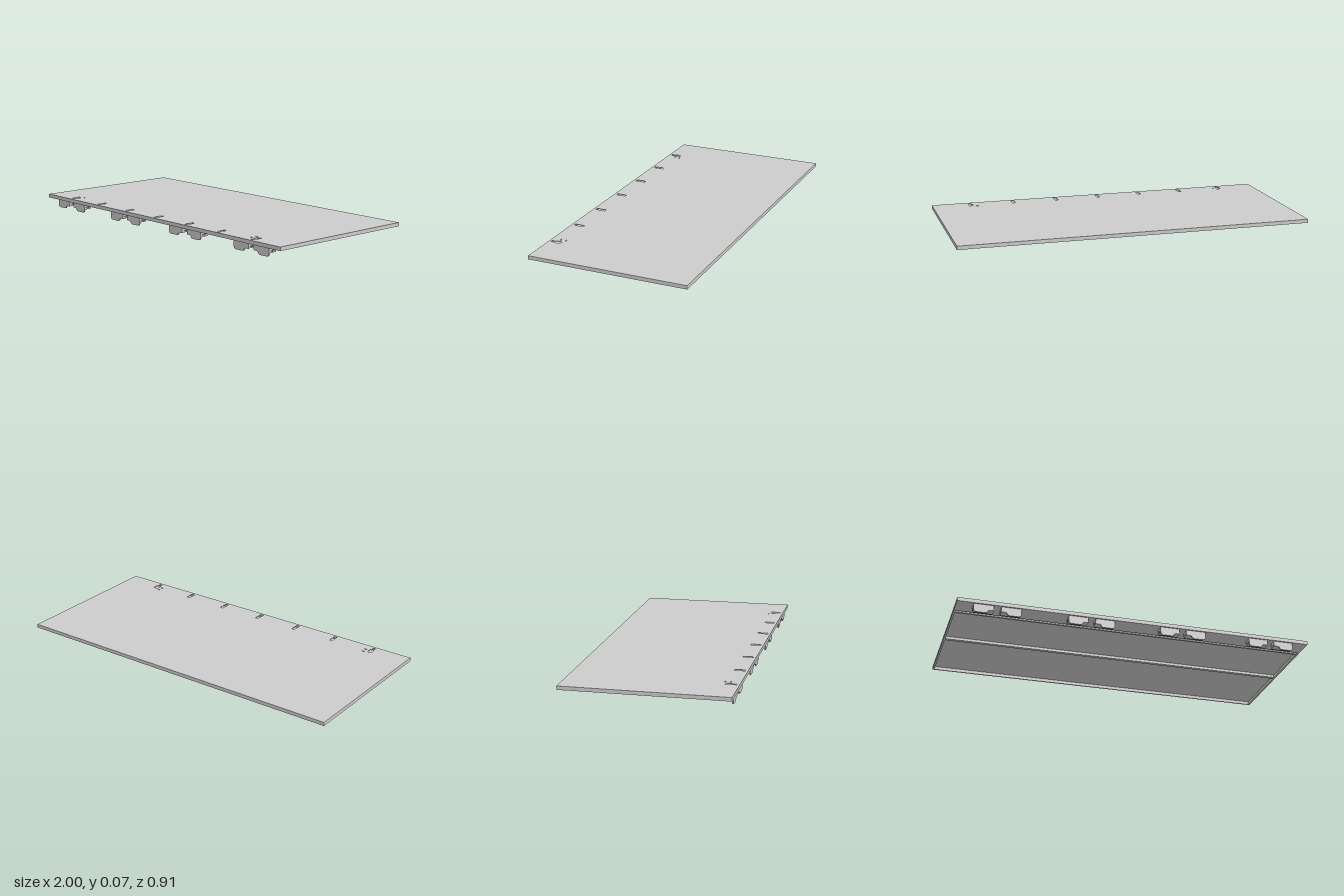
import * as THREE from 'three';

const mat = new THREE.MeshStandardMaterial({ color: 0xcccccc, flatShading: true });
const TOP = 0.068, BOTTOM = 0.047, SHEET = 0.003, HALF = 0.457;

function add(parent, name, geometry) {
  const mesh = new THREE.Mesh(geometry, mat);
  mesh.name = name;
  parent.add(mesh);
  return mesh;
}

// Box given by its limits on each axis
function block(parent, name, x0, x1, y0, y1, z0, z1) {
  const mesh = add(parent, name, new THREE.BoxGeometry(x1 - x0, y1 - y0, z1 - z0));
  mesh.position.set((x0 + x1) / 2, (y0 + y1) / 2, (z0 + z1) / 2);
  return mesh;
}

const outline = (C, pts) => new C(pts.map(([a, b]) => new THREE.Vector2(a, b)));
const rect = (x0, x1, y0, y1) => [[x0, y0], [x1, y0], [x1, y1], [x0, y1]];
const extrude = (shape, depth) => new THREE.ExtrudeGeometry(shape, { depth, bevelEnabled: false });

// Top sheet with locating slots along the front edge
function topSheet(parent) {
  const shape = outline(THREE.Shape, rect(-1, 1, -HALF, HALF));
  const cut = (pts) => shape.holes.push(outline(THREE.Path, pts));
  for (let i = -2; i <= 2; i++) cut(rect(i * 0.26 - 0.009, i * 0.26 + 0.009, -0.442, -0.383));
  for (const s of [-1, 1]) {
    // Keyhole slot
    cut([[-0.012, -0.383], [-0.012, -0.412], [-0.007, -0.42], [-0.007, -0.442],
      [0.007, -0.442], [0.007, -0.42], [0.012, -0.412], [0.012, -0.383]]
      .map(([x, y]) => [x + s * 0.777, y]));
    // Pair of small slits
    for (const z of [0.373, 0.404]) cut(rect(s * 0.742 - 0.008, s * 0.742 + 0.008, -z - 0.003, -z + 0.003));
  }
  const mesh = add(parent, 'topSheet', extrude(shape, SHEET));
  mesh.rotation.x = -Math.PI / 2;
  mesh.position.y = TOP - SHEET;
}

// Hanging clip: hooked front plate, slotted cheeks and a floor
function clip(x, side) {
  const g = new THREE.Group();
  g.name = 'clip';
  const plate = outline(THREE.Shape, [[-0.055, 0.048], [-0.055, 0.012], [-0.049, 0.003], [-0.042, 0],
    [0.012, 0], [0.019, 0.003], [0.026, 0.014], [0.032, 0.017], [0.055, 0.017], [0.055, 0.048]]
    .map(([px, py]) => [px * side, py]));
  add(g, 'hookPlate', extrude(plate, 0.007)).position.z = 0.441;

  // Cheek profile lies in z and y, with a T-shaped slot
  const cheek = outline(THREE.Shape, rect(-0.442, -0.398, 0.019, 0.048));
  cheek.holes.push(outline(THREE.Path, [[-0.434, 0.031], [-0.434, 0.027], [-0.424, 0.027], [-0.424, 0.024],
    [-0.418, 0.024], [-0.418, 0.027], [-0.408, 0.027], [-0.408, 0.031]]));
  for (const px of [-0.055, 0.049]) {
    const m = add(g, 'cheek', extrude(cheek, 0.006));
    m.rotation.y = Math.PI / 2;
    m.position.x = px;
  }
  block(g, 'clipFloor', -0.055, 0.055, 0.019, 0.024, 0.398, 0.442);
  g.position.x = x;
  return g;
}

export function createModel() {
  const shelf = new THREE.Group();
  shelf.name = 'shelf';
  topSheet(shelf);

  const under = TOP - SHEET;
  // Folded rim
  for (const s of [-1, 1]) {
    const x = s * 0.995, z = s * (HALF - 0.004);
    block(shelf, 'sideRim', x - 0.005, x + 0.005, BOTTOM, under, -HALF, HALF);
    block(shelf, s > 0 ? 'frontRim' : 'backRim', -0.99, 0.99, BOTTOM, under, z - 0.004, z + 0.004);
  }

  // Underside ribs and the closed front channel
  block(shelf, 'middleRib', -0.99, 0.99, 0.05, under, -0.045, -0.025);
  block(shelf, 'frontRib', -0.99, 0.99, 0.05, under, 0.305, 0.318);
  block(shelf, 'channelFloor', -0.99, 0.99, BOTTOM, BOTTOM + SHEET, 0.338, HALF - 0.008);
  block(shelf, 'channelWall', -0.99, 0.99, BOTTOM + SHEET, under, 0.338, 0.344);

  // Four mirrored pairs of clips
  for (const c of [-0.78, -0.26, 0.26, 0.78]) {
    for (const s of [-1, 1]) shelf.add(clip(c + s * 0.075, -s));
  }
  return shelf;
}
